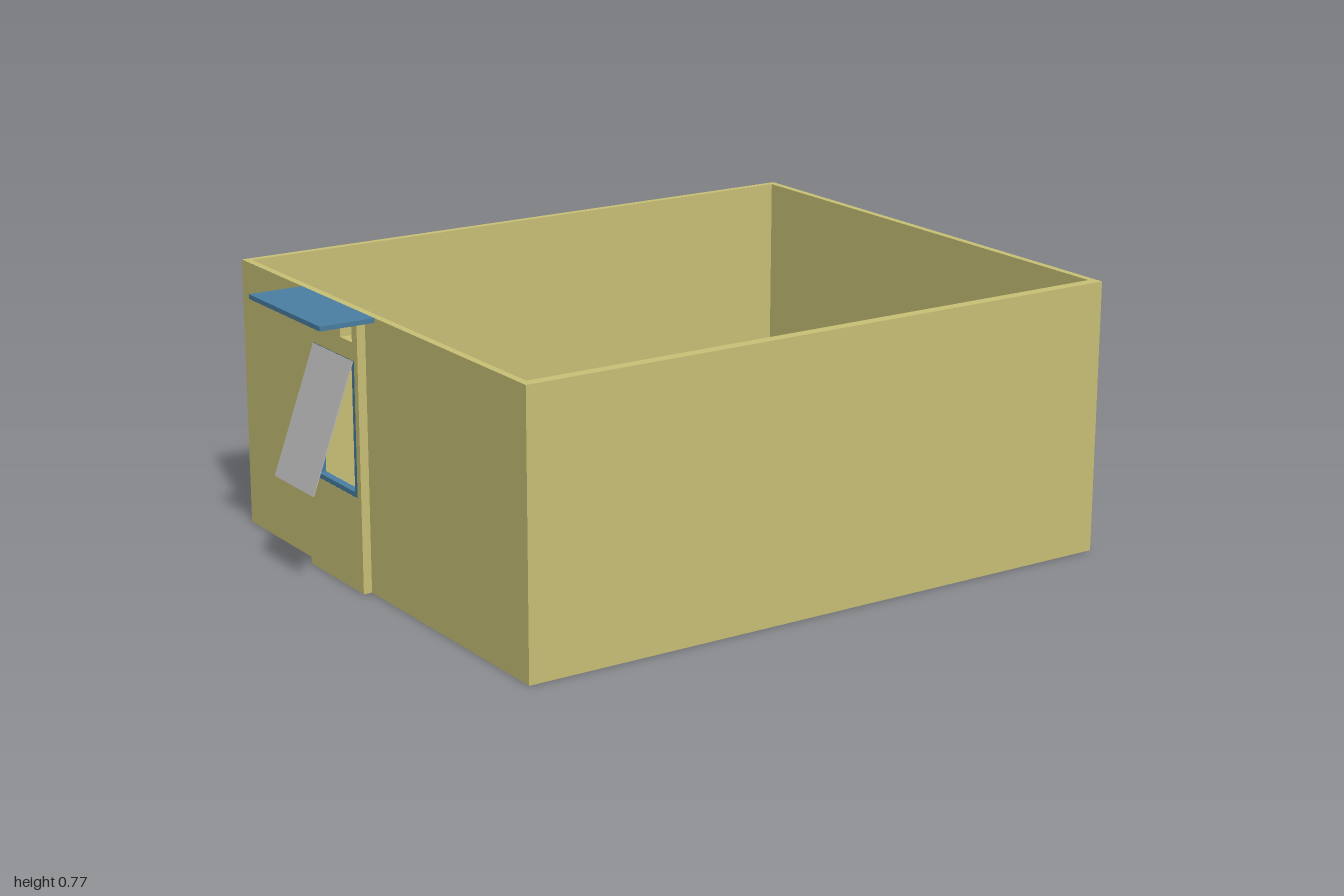
import * as THREE from 'three';

const wallMat = new THREE.MeshStandardMaterial({ color: 0xc9c176 });
wallMat.name = 'sand wall';
const blueMat = new THREE.MeshStandardMaterial({ color: 0x4a7fa3 });
blueMat.name = 'blue trim';
const greyMat = new THREE.MeshStandardMaterial({ color: 0xb8b8b8, side: THREE.DoubleSide });
greyMat.name = 'door grey';

function add(parent, name, geometry, material) {
  const mesh = new THREE.Mesh(geometry, material);
  mesh.name = name;
  parent.add(mesh);
  return mesh;
}

// box given by its minimum and maximum corners
function block(parent, name, material, [x0, y0, z0], [x1, y1, z1]) {
  const geo = new THREE.BoxGeometry(x1 - x0, y1 - y0, z1 - z0);
  geo.translate((x0 + x1) / 2, (y0 + y1) / 2, (z0 + z1) / 2);
  return add(parent, name, geo, material);
}

function trace(path, [z0, y0, z1, y1]) {
  path.moveTo(z0, y0);
  path.lineTo(z1, y0);
  path.lineTo(z1, y1);
  path.lineTo(z0, y1);
  path.closePath();
  return path;
}

// slab across the x axis, with rectangles [z0, y0, z1, y1] cut through it
function slab(parent, name, material, x0, x1, outline, holes) {
  const shape = trace(new THREE.Shape(), outline);
  for (const h of holes) shape.holes.push(trace(new THREE.Path(), h));
  const geo = new THREE.ExtrudeGeometry(shape, { depth: x1 - x0, bevelEnabled: false });
  geo.rotateY(-Math.PI / 2);
  geo.translate(x1, 0, 0);
  return add(parent, name, geo, material);
}

export function createModel() {
  const model = new THREE.Group();
  model.name = 'room';
  const H = 0.775, Z = 0.762, L = -0.84, R = 1, T = 0.021, FRONT = 0.032;
  const zIn0 = -Z + T, zIn1 = Z - FRONT;

  // room shell
  block(model, 'floor', wallMat, [L + T, 0, zIn0], [R - T, 0.03, zIn1]);
  block(model, 'backWall', wallMat, [L, 0, -Z], [R, H, zIn0]);
  block(model, 'frontWall', wallMat, [L, 0, zIn1], [R, H, Z]);

  // window wall and the shallow bay outside it, with two vents above the window
  const opening = [-0.3, 0.265, -0.065, 0.645];
  const vents = [[-0.292, 0.695, -0.227, 0.735], [-0.138, 0.695, -0.073, 0.735]];
  slab(model, 'windowWall', wallMat, L, L + T, [zIn0, 0, zIn1, H], [opening, ...vents]);
  slab(model, 'windowBay', wallMat, L - 0.025, L, [-0.345, 0, -0.045, 0.762], [opening, ...vents]);

  // window frame, tilted shutter and awning
  const [z0, y0, z1, y1] = opening;
  const f = 0.014;
  slab(model, 'windowFrame', blueMat, L - 0.0245, L - 0.002, opening,
    [[z0 + f, y0 + f, z1 - f, y1 - f]]);
  const shutter = add(model, 'shutter', new THREE.BoxGeometry(0.003, 0.375, 0.222), greyMat);
  shutter.position.set(-0.929, 0.467, -0.182);
  shutter.rotation.z = -Math.atan2(0.128, 0.353);
  block(model, 'awning', blueMat, [-1, 0.762, -0.398], [L, H, 0.008]);

  // door wall and panelled door
  slab(model, 'doorWall', wallMat, R - T, R, [zIn0, 0, zIn1, H], [[0.142, 0.03, 0.39, 0.522]]);
  const door = new THREE.Group();
  door.name = 'door';
  model.add(door);
  const panels = [[0.175, 0.045, 0.36, 0.13], [0.175, 0.175, 0.36, 0.38], [0.175, 0.42, 0.36, 0.505]];
  slab(door, 'doorFrame', greyMat, R - T, R, [0.147, 0.03, 0.39, 0.522], panels);
  for (const [a, b, c, d] of panels) {
    block(door, 'doorPanel', greyMat, [R - 0.014, b, a], [R - 0.007, d, c]);
  }
  for (const x of [R, R - T]) {
    const knob = add(door, 'doorKnob', new THREE.SphereGeometry(0.005, 12, 8), greyMat);
    knob.position.set(x, 0.307, 0.375);
    knob.scale.x = 0.5;
  }
  return model;
}
